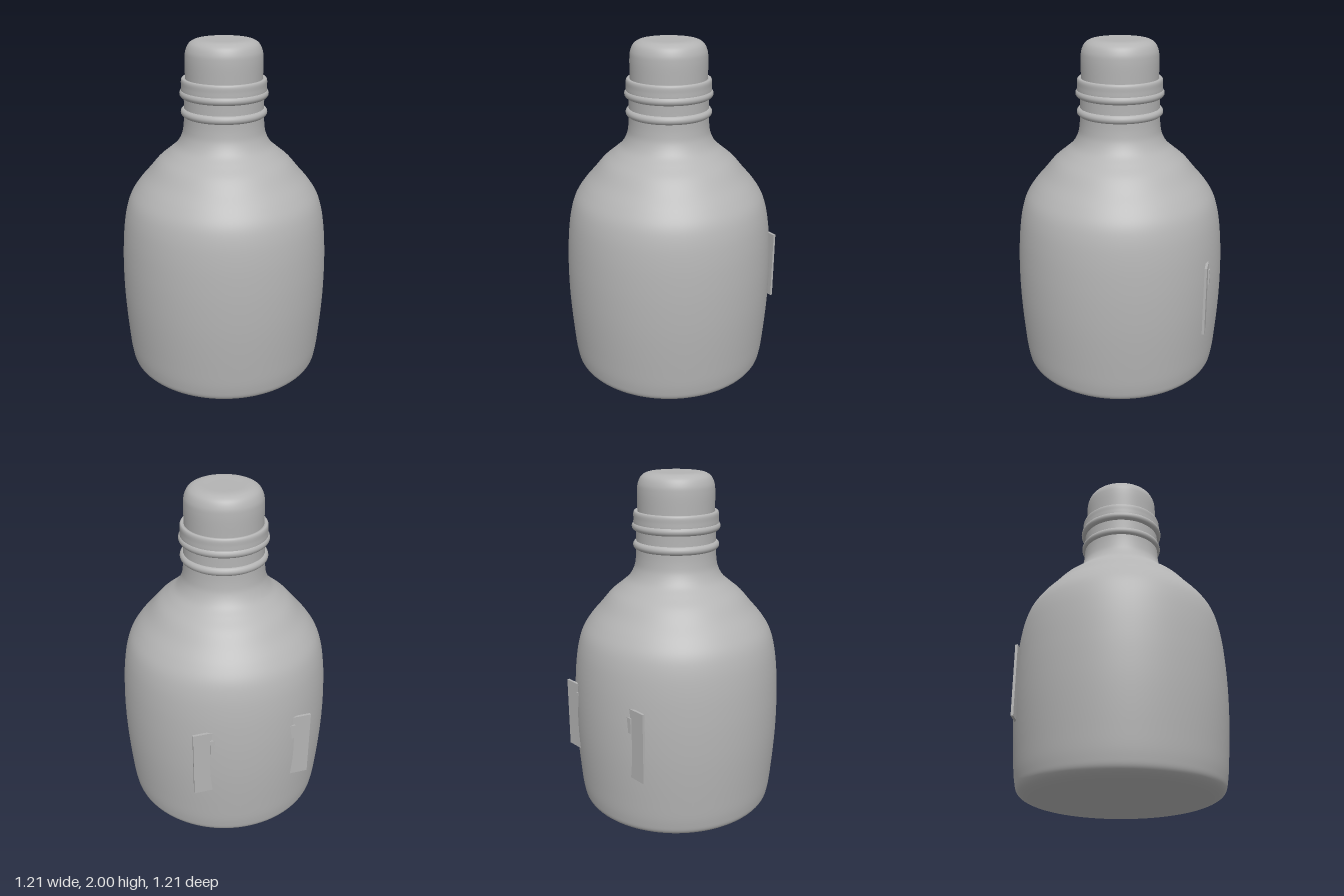
import * as THREE from 'three';

export function createModel() {
  const model = new THREE.Group();
  const grey = new THREE.MeshStandardMaterial({ color: 0xb4b4b4 });
  grey.name = 'grey';

  const add = (name, geometry, x = 0, y = 0, z = 0) => {
    const mesh = new THREE.Mesh(geometry, grey);
    mesh.name = name;
    mesh.position.set(x, y, z);
    model.add(mesh);
    return mesh;
  };

  // Smooth turned shape through [radius, height] points, listed bottom to top
  const turned = (points, samples) => {
    const curve = new THREE.CatmullRomCurve3(
      points.map(([r, y]) => new THREE.Vector3(r, y, 0)), false, 'centripetal');
    const profile = curve.getPoints(samples).map(p => new THREE.Vector2(Math.max(p.x, 0), p.y));
    return new THREE.LatheGeometry(profile, 96);
  };

  // Body with rounded base, sloping shoulders and neck
  add('body', turned([
    [0, 0.012], [0.15, 0.006], [0.3, 0.004], [0.44, 0.018], [0.525, 0.038], [0.562, 0.065],
    [0.577, 0.12], [0.592, 0.27], [0.604, 0.46], [0.607, 0.6], [0.604, 0.75],
    [0.592, 0.91], [0.572, 1.03], [0.545, 1.11], [0.5, 1.18], [0.44, 1.25],
    [0.38, 1.32], [0.32, 1.37], [0.27, 1.415], [0.24, 1.47], [0.23, 1.52], [0.226, 1.6], [0.226, 1.72],
  ], 132));

  // Two rings around the neck
  for (const [y, radius] of [[1.6, 0.22], [1.705, 0.226]]) {
    const ring = add('neckRing', new THREE.TorusGeometry(radius, 0.024, 16, 96), 0, y, 0);
    ring.rotation.x = Math.PI / 2;
  }

  // Collar under the cap
  add('collar', turned([
    [0.228, 1.69], [0.239, 1.71], [0.24, 1.75], [0.239, 1.78], [0.233, 1.79], [0.222, 1.79], [0.21, 1.783],
  ], 36));

  // Domed cap with a flat top
  add('cap', turned([
    [0.216, 1.74], [0.217, 1.8], [0.217, 1.9], [0.212, 1.94], [0.195, 1.975],
    [0.17, 1.993], [0.14, 2], [0.07, 2], [0, 2],
  ], 64));

  // Strap plates and their small catches on the back
  for (const side of [-1, 1]) {
    add('strapPlate', new THREE.BoxGeometry(0.14, 0.41, 0.014), side * 0.27, 0.615, -0.547);
    add('plateCatch', new THREE.BoxGeometry(0.04, 0.09, 0.016), side * 0.227, 0.725, -0.554);
  }

  return model;
}
